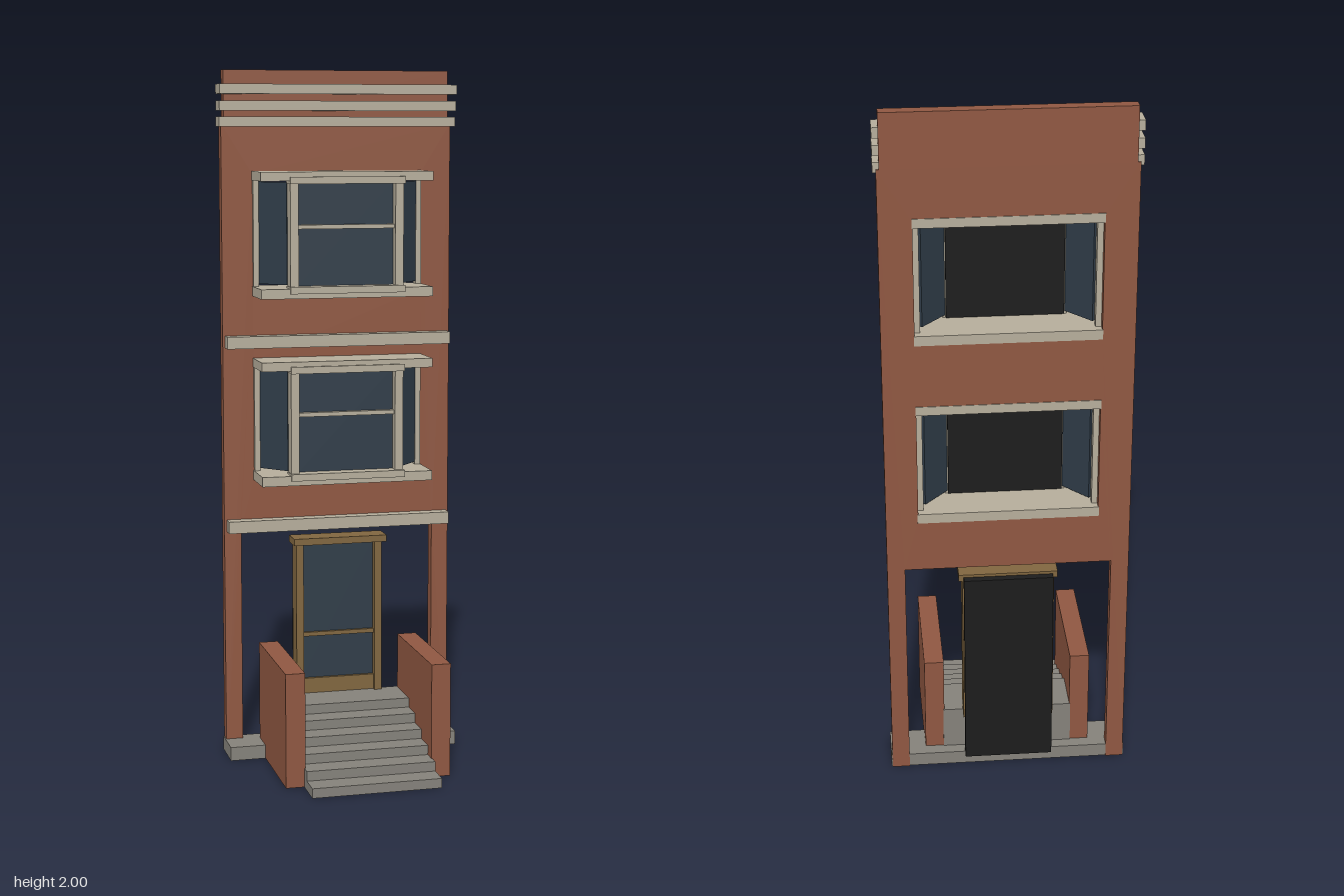
import * as THREE from 'three';

const mat = (name, color) => {
  const m = new THREE.MeshStandardMaterial({ color });
  m.name = name;
  return m;
};

export function createModel() {
  const brick = mat('brick', 0x8f5741);
  const stone = mat('trimStone', 0xb5ad9b);
  const concrete = mat('concrete', 0x84817a);
  const glass = mat('glass', 0x2f3c48);
  const wood = mat('wood', 0x80663f);
  const black = mat('blackBacking', 0x1c1c1c);

  const house = new THREE.Group();
  house.name = 'townhouse';

  // Box given by its lower and upper limits on each axis
  const box = (parent, name, m, x0, x1, y0, y1, z0, z1) => {
    const mesh = new THREE.Mesh(new THREE.BoxGeometry(x1 - x0, y1 - y0, z1 - z0), m);
    mesh.position.set((x0 + x1) / 2, (y0 + y1) / 2, (z0 + z1) / 2);
    mesh.name = name;
    parent.add(mesh);
    return mesh;
  };
  // Box centred on x = 0
  const mid = (parent, name, m, hw, y0, y1, z0, z1) => box(parent, name, m, -hw, hw, y0, y1, z0, z1);
  // Mirrored pair of boxes
  const pair = (parent, name, m, x0, x1, y0, y1, z0, z1) => {
    box(parent, name + 'Left', m, x0, x1, y0, y1, z0, z1);
    box(parent, name + 'Right', m, -x1, -x0, y0, y1, z0, z1);
  };

  // Facade wall: doorway legs and two window openings
  const floors = [0.818, 1.356];
  const outline = [[-0.34, 0], [-0.29, 0], [-0.29, 0.67], [0.29, 0.67], [0.29, 0], [0.34, 0], [0.34, 1.85], [-0.34, 1.85]];
  const shape = new THREE.Shape(outline.map(([x, y]) => new THREE.Vector2(x, y)));
  for (const y of floors) {
    const hole = [[-0.25, y + 0.01], [-0.25, y + 0.35], [0.25, y + 0.35], [0.25, y + 0.01]];
    shape.holes.push(new THREE.Path(hole.map(([x, v]) => new THREE.Vector2(x, v))));
  }
  const wall = new THREE.Mesh(new THREE.ExtrudeGeometry(shape, { depth: 0.035, bevelEnabled: false }), brick);
  wall.position.z = -0.247;
  wall.name = 'facadeWall';
  house.add(wall);
  mid(house, 'parapet', brick, 0.332, 1.85, 2, -0.247, -0.212);

  // String courses and stepped cornice
  for (const y of [0.667, 1.207]) mid(house, 'stringCourse', stone, 0.333, y, y + 0.035, -0.225, -0.175);
  [[1.84, -0.19], [1.885, -0.182], [1.932, -0.176]].forEach(([y, z]) =>
    mid(house, 'corniceBand', stone, 0.349, y, y + 0.028, -0.243, z));

  // Bay windows
  for (const y of floors) {
    const bay = new THREE.Group();
    bay.name = 'bayWindow';
    bay.position.y = y;
    house.add(bay);
    mid(bay, 'sill', stone, 0.252, 0, 0.028, -0.249, -0.08);
    mid(bay, 'bayHead', stone, 0.252, 0.332, 0.358, -0.249, -0.08);
    mid(bay, 'sillTrim', stone, 0.168, 0.014, 0.034, -0.13, -0.073);
    mid(bay, 'headTrim', stone, 0.168, 0.324, 0.344, -0.13, -0.073);
    pair(bay, 'frontPost', stone, 0.142, 0.166, 0.028, 0.332, -0.13, -0.086);
    pair(bay, 'wallPost', stone, 0.234, 0.25, 0.028, 0.332, -0.225, -0.2);
    mid(bay, 'frontPane', glass, 0.142, 0.03, 0.33, -0.125, -0.115);
    mid(bay, 'paneBacking', black, 0.16, 0.03, 0.33, -0.137, -0.126);
    mid(bay, 'sashRail', stone, 0.142, 0.196, 0.208, -0.116, -0.1);
    // Angled side panes
    for (const s of [1, -1]) {
      const pane = box(bay, 'sidePane', glass, -0.05, 0.05, 0.036, 0.328, -0.004, 0.004);
      pane.position.x = s * 0.198;
      pane.position.z = -0.166;
      pane.rotation.y = s * Math.atan2(0.08, 0.07);
    }
  }

  // Entrance door
  const door = new THREE.Group();
  door.name = 'entranceDoor';
  house.add(door);
  pair(door, 'doorJamb', wood, 0.108, 0.13, 0.16, 0.625, -0.243, -0.19);
  mid(door, 'doorHead', wood, 0.14, 0.622, 0.642, -0.243, -0.172);
  mid(door, 'doorKickPanel', wood, 0.108, 0.16, 0.212, -0.24, -0.202);
  mid(door, 'doorGlass', glass, 0.108, 0.212, 0.622, -0.235, -0.212);
  mid(door, 'doorRail', wood, 0.108, 0.34, 0.352, -0.215, -0.203);
  mid(door, 'doorBacking', black, 0.126, 0.035, 0.634, -0.264, -0.24);

  // Front steps, each a slab running back to the wall
  for (let i = 0; i < 6; i++) {
    const y = i * 0.0278;
    mid(house, 'step' + (i + 1), concrete, 0.187, y, y + 0.0278, -0.21, 0.262 - i * 0.0678);
  }
  pair(house, 'stairWall', brick, 0.184, 0.24, 0.001, 0.33, -0.207, 0.163);
  mid(house, 'foundation', concrete, 0.343, 0, 0.04, -0.244, -0.125);

  return house;
}
